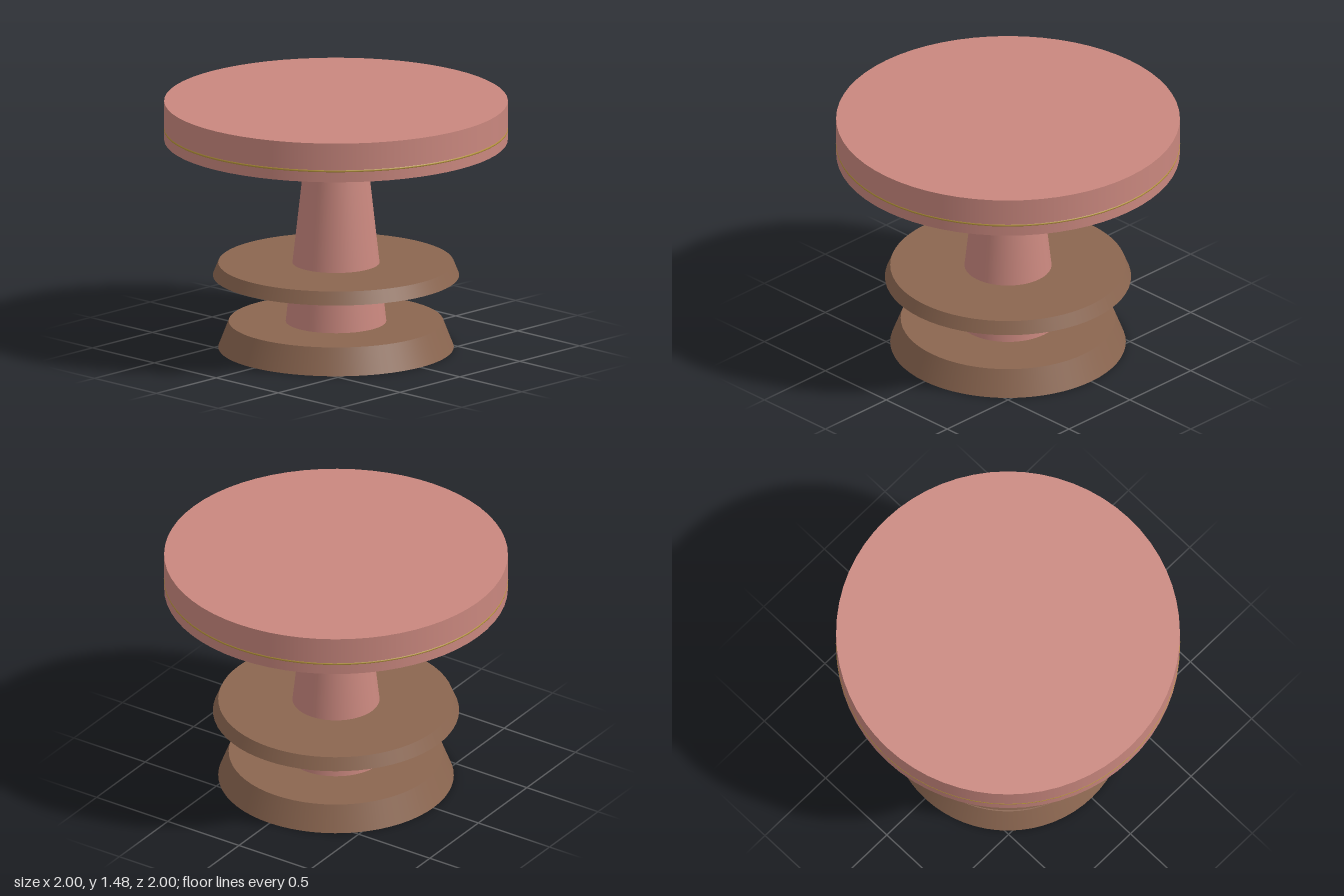
import * as THREE from 'three';

const material = (name, color) => {
  const m = new THREE.MeshStandardMaterial({ color });
  m.name = name;
  return m;
};

export function createModel() {
  const rose = material('rose', 0xc9877e);
  const brown = material('brown', 0x8b6650);
  const gold = material('gold', 0xb8963c);
  const group = new THREE.Group();
  group.name = 'pedestalTable';

  // Round tapered part standing between two heights
  const disc = (name, rTop, rBottom, y0, y1, mat) => {
    const mesh = new THREE.Mesh(new THREE.CylinderGeometry(rTop, rBottom, y1 - y0, 64), mat);
    mesh.name = name;
    mesh.position.y = (y0 + y1) / 2;
    group.add(mesh);
  };

  disc('base', 0.623, 0.684, 0, 0.157, brown);
  disc('column', 0.17, 0.293, 0.15, 1.25, rose);
  disc('lowerShelf', 0.684, 0.715, 0.432, 0.508, brown);
  disc('tableTop', 0.998, 0.998, 1.244, 1.476, rose);

  // Thin trim ring around the edge of the top
  const trim = new THREE.Mesh(new THREE.TorusGeometry(0.99, 0.01, 10, 64), gold);
  trim.name = 'trimRing';
  trim.rotation.x = Math.PI / 2;
  trim.position.y = 1.31;
  group.add(trim);

  return group;
}
